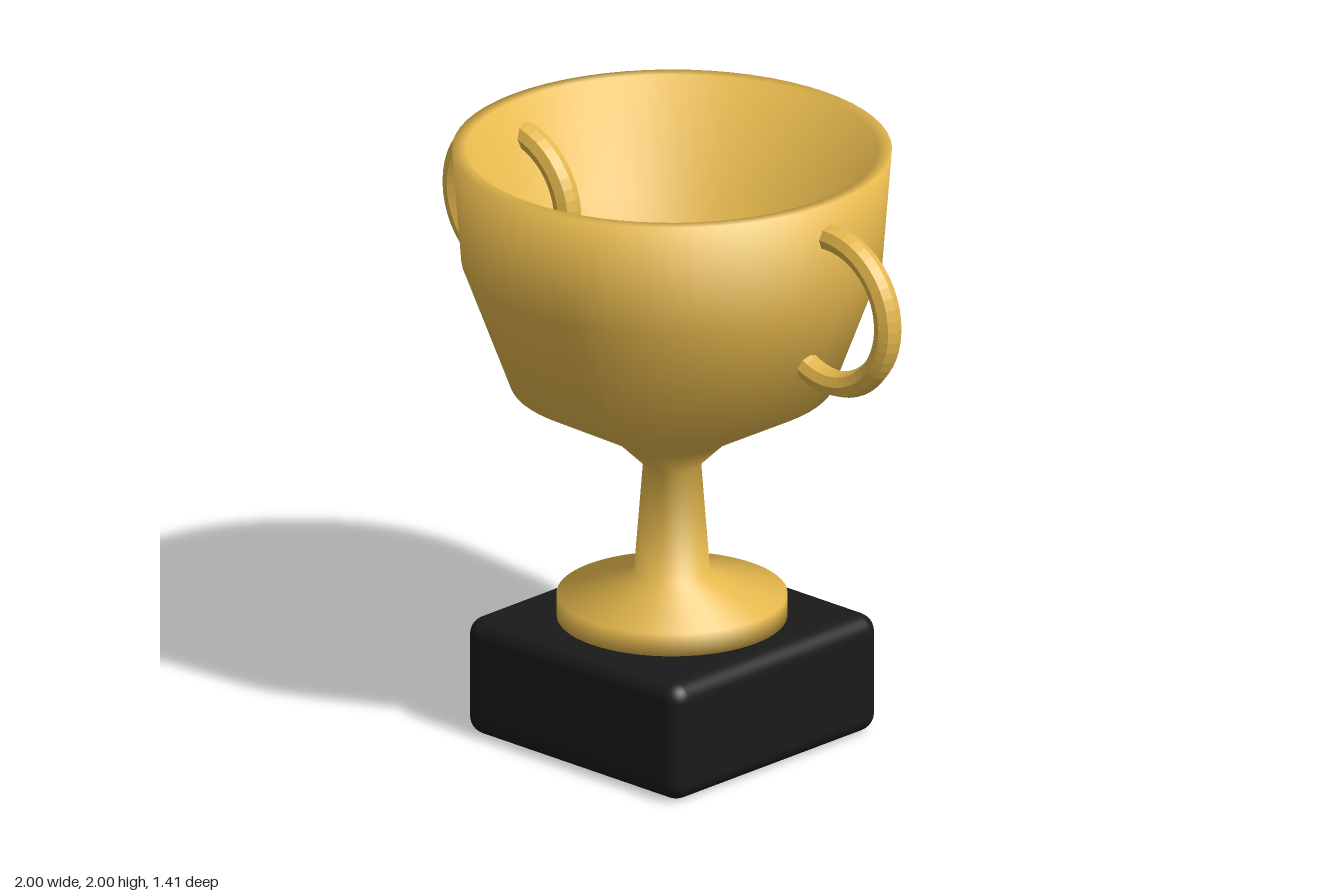
import * as THREE from 'three';
import { RoundedBoxGeometry } from 'three/addons/geometries/RoundedBoxGeometry.js';

// Lathe whose normals average neighbouring profile segments equally
function softLathe(points, segments) {
  const profile = points.map(([r, y]) => new THREE.Vector2(r, y));
  const geometry = new THREE.LatheGeometry(profile, segments);
  const last = profile.length - 1;
  const edges = profile.slice(1).map((p, i) => {
    const d = p.clone().sub(profile[i]).normalize();
    return new THREE.Vector2(d.y, -d.x);
  });
  const normals = profile.map((p, i) => {
    if (p.x === 0) return new THREE.Vector2(0, i === 0 ? -1 : 1);
    return edges[i - 1].clone().add(edges[i]).normalize();
  });
  for (let s = 0; s <= segments; s++) {
    const a = (s / segments) * Math.PI * 2;
    normals.forEach((n, i) => {
      geometry.attributes.normal.setXYZ(s * (last + 1) + i, n.x * Math.sin(a), n.y, n.x * Math.cos(a));
    });
  }
  return geometry;
}

export function createModel() {
  const model = new THREE.Group();
  model.name = 'trophy';
  const gold = new THREE.MeshStandardMaterial({ color: 0xe6b94d });
  gold.name = 'gold';
  const black = new THREE.MeshStandardMaterial({ color: 0x1a1a1a });
  black.name = 'black';

  const add = (name, geometry, material, x, y) => {
    const mesh = new THREE.Mesh(geometry, material);
    mesh.name = name;
    mesh.position.set(x, y, 0);
    model.add(mesh);
  };

  // Square plinth with rounded edges
  add('plinth', new RoundedBoxGeometry(0.95, 0.4, 0.95, 4, 0.06), black, 0, 0.2);

  // Foot, stem and bowl in one turned profile: up the outside, over the rim, down the inside
  const profile = [
    [0, 0.4], [0.37, 0.4], [0.37, 0.476], [0.122, 0.554], [0.093, 0.925], [0.19, 1.02],
    [0.52, 1.203], [0.675, 1.62], [0.705, 2],
    [0.66, 2], [0.61, 1.6], [0, 1.15],
  ];
  add('cup', softLathe(profile, 64), gold, 0, 0);

  // Faceted eight-sided ring handles, passing through the bowl wall
  const ring = new THREE.TorusGeometry(0.247, 0.044, 8, 48).toNonIndexed();
  ring.computeVertexNormals();
  for (const side of [-1, 1]) {
    add(side > 0 ? 'leftHandle' : 'rightHandle', ring, gold, side * 0.709, 1.635);
  }
  return model;
}
